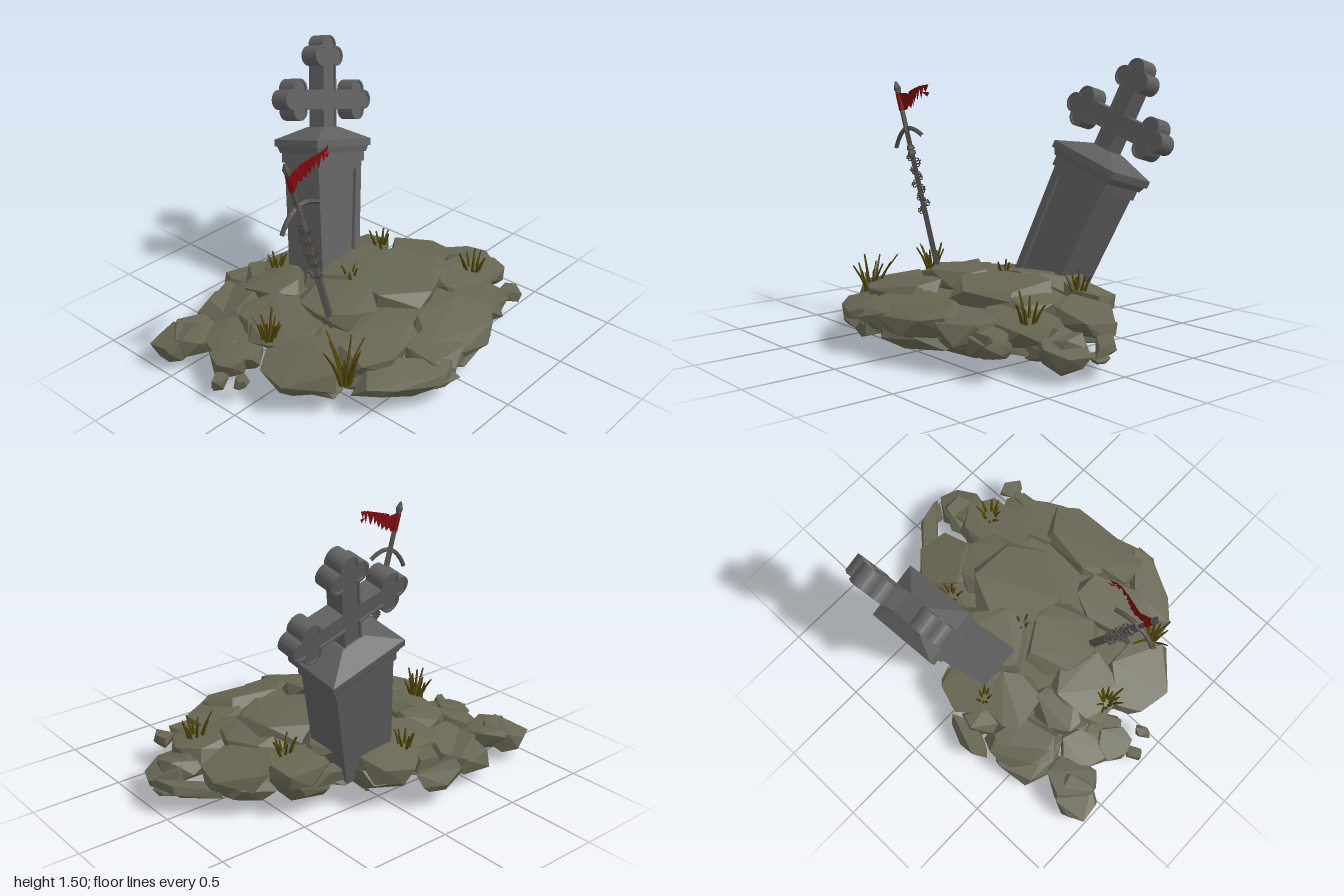
import * as THREE from 'three';
import { ConvexGeometry } from 'three/addons/geometries/ConvexGeometry.js';

const mat = (name, color, extra = {}) => {
  const m = new THREE.MeshStandardMaterial({ color, ...extra });
  m.name = name;
  return m;
};

export function createModel() {
  const rockMat = mat('olive rock', 0x676653);
  const stoneMat = mat('grave stone', 0x5f5f5f);
  const steelMat = mat('worn steel', 0x57544f, { flatShading: true });
  const chainMat = mat('dark chain', 0x45423e);
  const clothMat = mat('red cloth', 0x7c0a0d, { side: THREE.DoubleSide });
  const grassMat = mat('dry grass', 0x51450a, { flatShading: true });

  let seed = 11;
  const rnd = (a = 0, b = 1) => {
    seed = (seed * 16807) % 2147483647;
    return a + (b - a) * (seed / 2147483647);
  };
  const model = new THREE.Group();
  const add = (parent, name, geo, material, x = 0, y = 0, z = 0) => {
    const m = new THREE.Mesh(geo, material);
    m.name = name;
    m.position.set(x, y, z);
    parent.add(m);
    return m;
  };
  const group = (name) => {
    const g = new THREE.Group();
    g.name = name;
    model.add(g);
    return g;
  };

  // ---- Rocky mound: sharp wedge-like slabs laid over a low dome
  const mound = group('rockMound');
  const rockGeo = (w, h, d, yaw = 0, sides = 6) => {
    const pts = [], turn = rnd(0, 6);
    const ring = (n, start, rMin, rMax, yMin, yMax) => {
      for (let i = 0; i < n; i++) {
        const a = start + ((i + rnd(-0.28, 0.28)) / n) * Math.PI * 2, r = rnd(rMin, rMax);
        pts.push(new THREE.Vector3(Math.cos(a) * r * w / 2, rnd(yMin, yMax) * h, Math.sin(a) * r * d / 2));
      }
    };
    ring(sides, turn, 0.86, 1.06, 0.3, 0.5);
    ring(sides, turn + 0.25, 0.92, 1.12, -0.3, 0.05);
    ring(4, turn, 0.55, 0.85, -0.55, -0.4);
    return new ConvexGeometry(pts).rotateY(yaw);
  };
  const domeY = (x, z) => 0.375 - 0.22 * (x / 0.85) ** 2 - (z < 0 ? 0.28 : 0.23) * z * z;
  const slabs = [ // x, z, width, depth, optional yaw
    [0.08, -0.18, 0.56, 0.54], [-0.1, -0.63, 0.36, 0.38], [0.26, -0.55, 0.4, 0.42],
    [0.55, -0.1, 0.38, 0.54], [0.48, -0.38, 0.32, 0.32], [0.24, -0.82, 0.26, 0.3],
    [0, 0.22, 0.44, 0.4], [0.36, 0.3, 0.36, 0.5], [0.6, 0.36, 0.22, 0.54, -0.62],
    [0.16, 0.67, 0.46, 0.38, 0.15], [-0.1, 0.5, 0.4, 0.42], [-0.58, 0.48, 0.4, 0.4],
    [-0.45, 0.25, 0.34, 0.32], [-0.58, 0.87, 0.25, 0.27], [-0.36, 0.72, 0.22, 0.3, 0.4],
    [-0.22, 0.82, 0.21, 0.2], [-0.28, -0.08, 0.42, 0.5], [-0.33, -0.4, 0.28, 0.34],
    [-0.52, 0.02, 0.36, 0.36], [0.6, 0.12, 0.3, 0.32], [0.05, -0.42, 0.42, 0.32, 0.3],
    [-0.3, 0.48, 0.26, 0.32], [0.47, -0.54, 0.22, 0.24, 0.2],
  ];
  slabs.forEach(([x, z, w, d, yaw]) => {
    const h = 0.13;
    const r = add(mound, 'topRock', rockGeo(w, h, d, yaw), rockMat, x, Math.max(0.13, domeY(x, z) - h / 2), z);
    r.rotation.set(0.33 * z + rnd(-0.1, 0.1), 0, -0.36 * x + rnd(-0.1, 0.1));
    const l = add(mound, 'lowerRock', rockGeo(w * 1.1, 0.12, d * 1.1, yaw, 5), rockMat, x * 0.92, 0.14, z * 0.9);
    l.rotation.set(rnd(-0.15, 0.15), 0, rnd(-0.15, 0.15));
  });
  add(mound, 'coreRock', rockGeo(1.1, 0.16, 1.3), rockMat, 0.05, 0.18, 0);
  // Small pieces and pointed shards round the rim
  const shards = [ // x, y, z, width, height, depth, yaw
    [0.01, 0.13, -0.87, 0.4, 0.07, 0.13, 0.55], [0.53, 0.16, -0.68, 0.16, 0.08, 0.11, 0],
    [0.52, 0.18, -0.57, 0.08, 0.08, 0.16, 0], [-0.75, 0.16, 0.2, 0.14, 0.12, 0.3, -0.2],
    [-0.64, 0.2, 0.2, 0.16, 0.13, 0.22, 0.3], [-0.17, 0.1, 0.94, 0.08, 0.08, 0.12, 0.3],
    [-0.05, 0.13, 0.9, 0.07, 0.07, 0.1, 0], [0.7, 0.16, 0.26, 0.36, 0.05, 0.12, 0.7],
    [0.1, 0.1, -0.93, 0.16, 0.04, 0.1, 0.7],
  ];
  for (const [x, y, z, ...size] of shards) add(mound, 'rimShard', rockGeo(...size, 4), rockMat, x, y, z);
  add(mound, 'hangingShard', rockGeo(0.04, 0.13, 0.04), rockMat, -0.405, 0.065, -0.02).rotation.z = -0.45;

  // ---- Leaning tombstone, origin at the top of its cornice
  const tomb = group('tombstone');
  tomb.position.set(-0.557, 0.945, -0.28);
  tomb.rotation.set(-0.3, 0, 0.264);
  const frustum = (y0, y1, w0, d0, w1, d1) => {
    const g = new THREE.BoxGeometry(1, 1, 1), p = g.attributes.position;
    for (let i = 0; i < p.count; i++) {
      const t = p.getY(i) > 0;
      p.setXYZ(i, p.getX(i) * (t ? w1 : w0), t ? y1 : y0, p.getZ(i) * (t ? d1 : d0));
    }
    g.computeVertexNormals();
    return g;
  };
  [
    ['roof', 0, 0.07, 0.325, 0.47, 0.11, 0.14],
    ['cornicePlate', -0.04, 0, 0.325, 0.47, 0.325, 0.47],
    ['corniceCove', -0.075, -0.04, 0.285, 0.425, 0.305, 0.45],
    ['corniceBand', -0.13, -0.075, 0.272, 0.405, 0.272, 0.405],
  ].forEach(([name, ...dims]) => add(tomb, name, frustum(...dims), stoneMat));

  // Pillar with a sunken panel on one broad face
  const trapezoid = (Type, y0, y1, h0, h1) => {
    const s = new Type();
    s.moveTo(-h0, y0);
    s.lineTo(h0, y0);
    s.lineTo(h1, y1);
    s.lineTo(-h1, y1);
    s.closePath();
    return s;
  };
  const extrudeX = (shape, depth, x0) =>
    new THREE.ExtrudeGeometry(shape, { depth, bevelEnabled: false }).rotateY(Math.PI / 2).translate(x0, 0, 0);
  const body = () => trapezoid(THREE.Shape, -0.8, -0.12, 0.16, 0.19);
  const frame = body();
  frame.holes.push(trapezoid(THREE.Path, -0.74, -0.175, 0.115, 0.14));
  add(tomb, 'pillar', extrudeX(body(), 0.235, -0.128), stoneMat);
  add(tomb, 'panelFrame', extrudeX(frame, 0.021, 0.107), stoneMat);

  // Cross with three-lobed ends; inset shrinks the outline evenly
  const crossPoints = (inset) => {
    const w = 0.056 - inset, r = 0.057 - inset, s = 0.06, L = 0.249;
    const c0 = Math.acos((w - s) / r), c1 = Math.acos(s / Math.SQRT2 / r);
    const arc = (cx, cy, a0, a1) => Array.from({ length: 11 }, (_, i) => {
      const a = a0 + (a1 - a0) * i / 10;
      return new THREE.Vector2(cx + r * Math.cos(a), cy + r * Math.sin(a));
    });
    const q = Math.PI / 4;
    const end = [
      new THREE.Vector2(w, w),
      ...arc(s, L, -c0, 3 * q - c1),
      ...arc(0, L + s, -q + c1, 5 * q - c1),
      ...arc(-s, L, q + c1, Math.PI + c0),
    ];
    const pts = [];
    for (const turn of [-1, 0, 1]) {
      for (const p of end) pts.push(p.clone().rotateAround(new THREE.Vector2(), turn * Math.PI / 2));
    }
    pts.push(new THREE.Vector2(-w, -w), new THREE.Vector2(-w, -0.2 + inset), new THREE.Vector2(w, -0.2 + inset));
    return pts;
  };
  const cross = new THREE.Group();
  cross.name = 'cross';
  cross.position.y = 0.225;
  tomb.add(cross);
  const rim = new THREE.Shape(crossPoints(0));
  rim.holes.push(new THREE.Path(crossPoints(0.011)));
  add(cross, 'crossRim', extrudeX(rim, 0.11, -0.055), stoneMat);
  add(cross, 'crossCore', extrudeX(new THREE.Shape(crossPoints(0.011)), 0.09, -0.045), stoneMat);

  // ---- Sword planted point-down
  const sword = group('sword');
  sword.position.set(0.085, 0.3, 0.36);
  sword.rotation.set(0.31, 0, -0.036);
  const bar = (name, y0, y1, r0, r1, sides = 6, thin = 1) =>
    add(sword, name, new THREE.CylinderGeometry(r1, r0, y1 - y0, sides).scale(thin, 1, 1), steelMat, 0, (y0 + y1) / 2, 0);
  bar('blade', -0.12, 0.83, 0.026, 0.023, 4, 0.6);
  bar('grip', 0.82, 1.06, 0.014, 0.014);
  bar('pommel', 1.05, 1.08, 0.014, 0.021);
  bar('pommelTip', 1.08, 1.12, 0.021, 0.006);
  for (const y of [0.69, 0.72, 0.83]) bar('binding', y, y + 0.022, 0.024, 0.02);
  // Guard curving down toward the blade
  const guardCurve = new THREE.QuadraticBezierCurve3(
    new THREE.Vector3(0, 0.765, -0.135), new THREE.Vector3(0, 0.92, 0), new THREE.Vector3(0, 0.765, 0.135));
  add(sword, 'guard', new THREE.TubeGeometry(guardCurve, 12, 0.013, 5), steelMat);

  // Chain wound round the blade, links turned alternately flat and upright
  const link = new THREE.TorusGeometry(0.01, 0.0026, 4, 8).scale(1.5, 1, 1);
  for (let i = 0; i < 56; i++) {
    const t = i / 55, a = t * Math.PI * 9, r = 0.025 + 0.008 * Math.sin(t * 17);
    const m = add(sword, 'chainLink', link, chainMat, Math.cos(a) * r, 0.36 + 0.35 * t, Math.sin(a) * r);
    m.rotation.set((i % 2) * Math.PI / 2, Math.PI / 2 - a, 0.3, 'YXZ');
  }

  // ---- Torn banner tied to the grip, with loose tatters trailing
  const banner = group('banner');
  banner.position.set(0.122, 1.21, 0.645);
  const tears = [
    [[0, -0.005], [-0.043, 0.09], [0.03, 0.094], [0.04, 0.088], [0.05, 0.105], [0.145, 0.13], [0.14, 0.05],
      [0.128, 0.08], [0.118, 0.035], [0.104, 0.06], [0.098, 0.02], [0.08, 0.04], [0.07, 0.01], [0.045, 0.025], [0.035, 0]],
    [[0.135, 0.126], [0.19, 0.141], [0.165, 0.055]],
    [[0.18, 0.137], [0.22, 0.146], [0.2, 0.07]],
    [[0.21, 0.143], [0.25, 0.15], [0.228, 0.105]],
    [[0.2, 0.108], [0.255, 0.105], [0.24, 0.082]],
  ];
  for (const tear of tears) {
    const cloth = new THREE.ShapeGeometry(new THREE.Shape(tear.map(([x, y]) => new THREE.Vector2(x, y))));
    const p = cloth.attributes.position;
    for (let i = 0; i < p.count; i++) p.setZ(i, -0.014 * Math.sin(p.getX(i) * 26));
    cloth.computeVertexNormals();
    add(banner, 'tornCloth', cloth.rotateY(Math.PI / 2), clothMat);
  }
  add(sword, 'clothWrap', new THREE.CylinderGeometry(0.017, 0.017, 0.1, 6), clothMat, 0, 1.0, 0);

  // ---- Grass tufts: stout blades fanning outward
  const tufts = [ // x, y, z, height, blade count
    [0.29, 0.22, -0.63, 0.17, 9], [-0.24, 0.28, -0.43, 0.13, 8], [-0.55, 0.27, 0.13, 0.14, 7],
    [-0.1, 0.32, 0.0, 0.1, 4], [-0.09, 0.24, 0.65, 0.18, 12], [0.39, 0.18, 0.58, 0.22, 12],
  ];
  for (const [x, y, z, height, count] of tufts) {
    const tuft = group('grassTuft');
    tuft.position.set(x, y, z);
    for (let i = 0; i < count; i++) {
      const len = height * rnd(0.65, 1.1);
      const g = new THREE.CylinderGeometry(0.005, 0.012, len, 4, 3).translate(0, len / 2, 0);
      const p = g.attributes.position, bend = rnd(0.2, 1.8);
      for (let k = 0; k < p.count; k++) p.setX(k, p.getX(k) + bend * p.getY(k) ** 2 + 0.2 * p.getY(k));
      const a = i * 2.4, r = rnd(0.005, 0.03);
      add(tuft, 'grassBlade', g, grassMat, Math.cos(a) * r, -0.02, Math.sin(a) * r).rotation.y = -a;
    }
  }
  return model;
}
